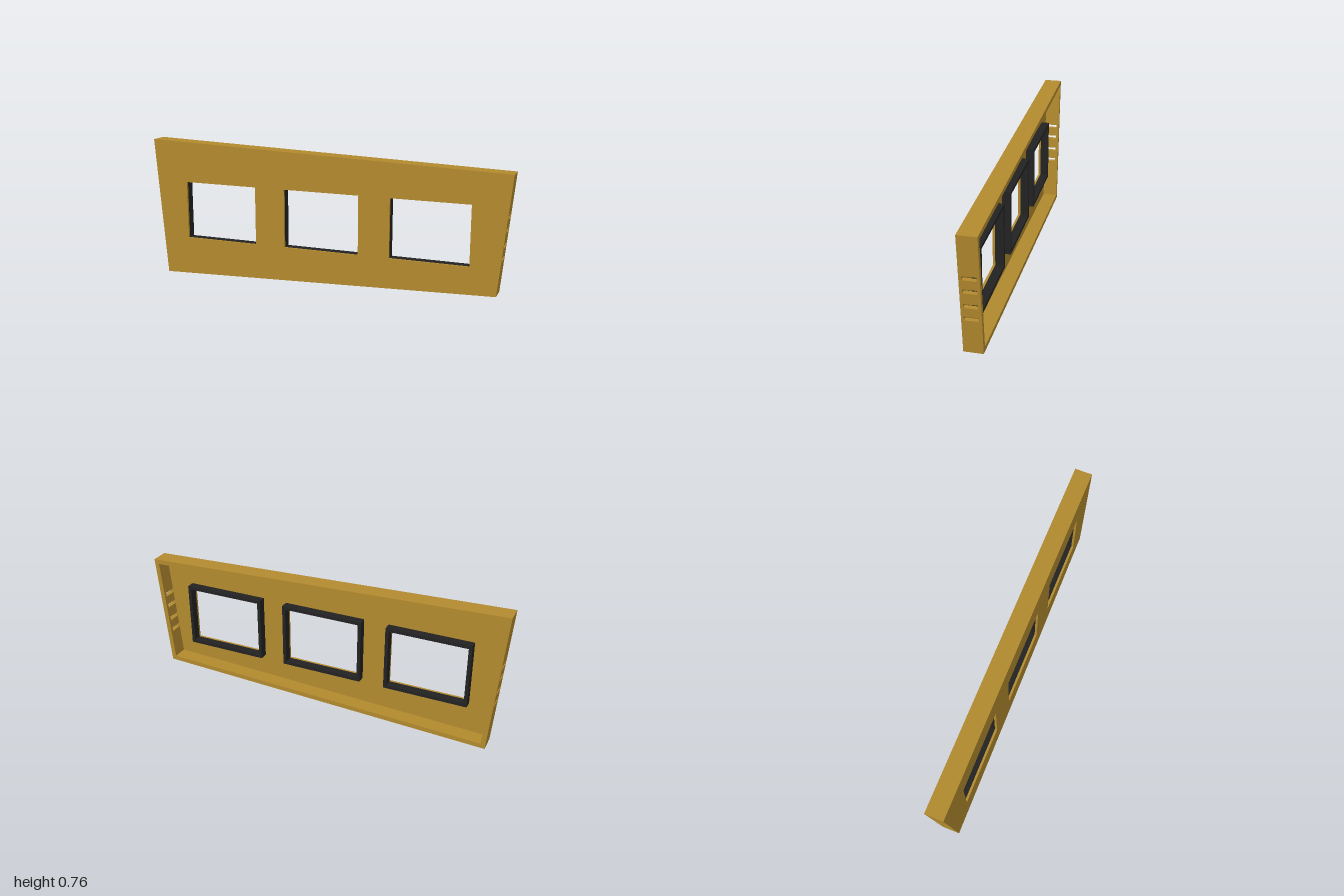
import * as THREE from 'three';

const BACK = -0.048, FRONT = 0.048, FACE = 0.0355; // FACE: rear of the thin front sheet
const WALL = 0.025;
const V = (x, y) => new THREE.Vector2(x, y);

// Outer corners, counter-clockwise from bottom left
const outer = [V(-0.94, 0), V(0.94, 0.073), V(1, 0.697), V(-1, 0.765)];

// Move every edge inwards by d and intersect neighbouring edges
function inset(points, d) {
  const n = points.length;
  return points.map((p, i) => {
    const a = p.clone().sub(points[(i + n - 1) % n]).normalize();
    const b = points[(i + 1) % n].clone().sub(p).normalize();
    const k = d / (1 + a.dot(b));
    return V(p.x + k * (-a.y - b.y), p.y + k * (a.x + b.x));
  });
}
const inner = inset(outer, WALL);

function rectPoints(cx, cy, w, h) {
  return [V(cx - w / 2, cy - h / 2), V(cx + w / 2, cy - h / 2), V(cx + w / 2, cy + h / 2), V(cx - w / 2, cy + h / 2)];
}

function extrude(points, holes, z0, z1) {
  const shape = new THREE.Shape(points);
  holes.forEach(h => shape.holes.push(new THREE.Path(h)));
  return new THREE.ExtrudeGeometry(shape, { depth: z1 - z0, bevelEnabled: false }).translate(0, 0, z0);
}

// Slotted end wall: a flat slab leaned onto its two edge lines, with mitred ends.
// Each line is [bottom corner, top corner].
function endWall(lowLine, highLine) {
  const y0 = 0, y1 = 1;
  const slots = [0.263, 0.332, 0.411, 0.48].map(y => rectPoints(-0.001, y, 0.068, 0.021));
  const slab = [V(-FACE, y0), V(-BACK, y0), V(-BACK, y1), V(-FACE, y1)];
  const geo = extrude(slab, slots, 0, 1).rotateY(Math.PI / 2);
  const pos = geo.attributes.position;
  for (let i = 0; i < pos.count; i++) {
    const [p, q] = pos.getX(i) < 0.5 ? lowLine : highLine;
    let y = pos.getY(i);
    if (y < 1e-4) y = p.y;
    else if (y > 1 - 1e-4) y = q.y;
    pos.setXY(i, p.x + (q.x - p.x) * (y - p.y) / (q.y - p.y), y);
  }
  geo.computeVertexNormals();
  return geo;
}

export function createModel() {
  const group = new THREE.Group();
  const gold = new THREE.MeshStandardMaterial({ color: 0xb28a2e });
  gold.name = 'gold';
  const black = new THREE.MeshStandardMaterial({ color: 0x222222 });
  black.name = 'black';

  const add = (name, geo, mat) => {
    const mesh = new THREE.Mesh(geo, mat);
    mesh.name = name;
    group.add(mesh);
  };

  // Front sheet with three windows
  const centres = [-0.59, 0, 0.59], cy = 0.374, w = 0.42, h = 0.32;
  add('frontPanel', extrude(outer, centres.map(x => rectPoints(x, cy, w, h)), FACE, FRONT), gold);

  // Rim behind the sheet
  add('bottomWall', extrude([outer[0], outer[1], inner[1], inner[0]], [], BACK, FACE), gold);
  add('topWall', extrude([outer[2], outer[3], inner[3], inner[2]], [], BACK, FACE), gold);
  add('leftWall', endWall([inner[1], inner[2]], [outer[1], outer[2]]), gold);
  add('rightWall', endWall([outer[0], outer[3]], [inner[0], inner[3]]), gold);

  // Dark frames around the windows
  centres.forEach((x, i) => {
    const frame = extrude(rectPoints(x, cy, w + 0.035, h + 0.035), [rectPoints(x, cy, w, h)], -0.01, FACE);
    add('windowFrame' + (i + 1), frame, black);
  });
  return group;
}
